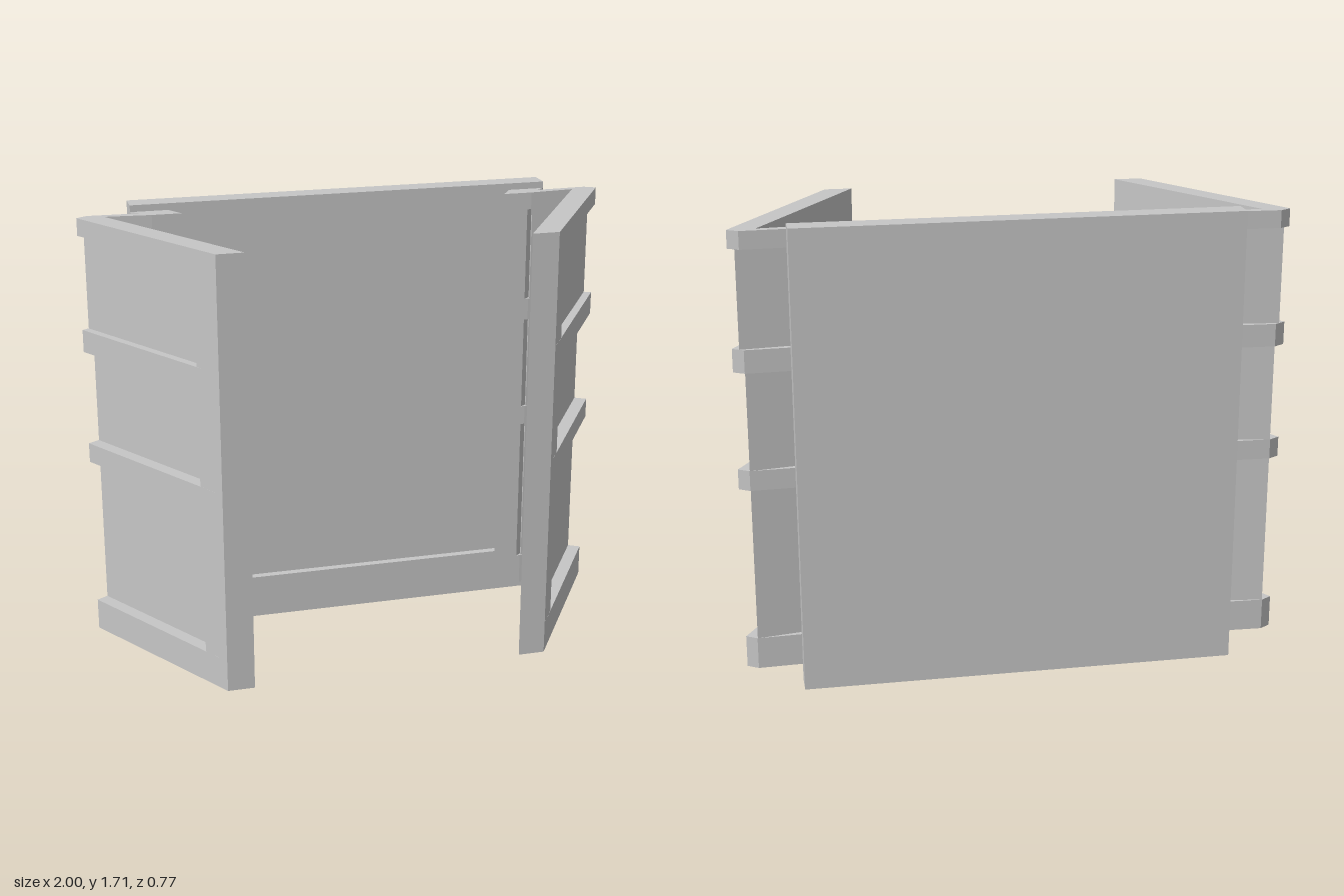
import * as THREE from 'three';

const grey = new THREE.MeshStandardMaterial({ color: 0xc6c6c6 });
grey.name = 'grey';

function add(parent, name, geometry) {
  const mesh = new THREE.Mesh(geometry, grey);
  mesh.name = name;
  parent.add(mesh);
  return mesh;
}

// Upright prism: floor plan of [x, z] points raised from y0 to y1
function prism(plan, y0, y1, side) {
  const shape = new THREE.Shape(plan.map(([x, z]) => new THREE.Vector2(x * side, -z)));
  const geo = new THREE.ExtrudeGeometry(shape, { depth: y1 - y0, bevelEnabled: false });
  geo.rotateX(-Math.PI / 2);
  geo.translate(0, y0, 0);
  return geo;
}

// Floor plans are drawn for the +x side and mirrored for the other
const railPlan = [
  [1, -0.26], [0.96, -0.285], [0.77, -0.278], [0.8, -0.305], [0.66, -0.305],
  [0.62, -0.24], [0.73, -0.24], [0.9, -0.255], [0.51, 0.38], [0.61, 0.38],
];
const jambPlan = [[0.8, -0.305], [0.66, -0.305], [0.62, -0.24], [0.715, -0.24]];

// Wing and return arm with the outer face sunk by d
const panelPlan = (d) => [
  [0.61, 0.38], [0.67, 0.28],
  [0.67 - 0.854 * d, 0.28 - 0.52 * d],
  [1 - 0.854 * d, -0.26 - 0.52 * d],
  [0.735, -0.25], [0.735, -0.242], [0.9, -0.255], [0.51, 0.38],
];

const rails = [[0.05, 0.17], [0.745, 0.82], [1.18, 1.265], [1.62, 1.685]];
const depths = [0.048, 0.048, 0.029];

export function createModel() {
  const model = new THREE.Group();
  model.name = 'panelledScreen';

  // Back board with a shallow recess in its front
  const frame = new THREE.Shape([
    new THREE.Vector2(-0.8, 0), new THREE.Vector2(0.8, 0),
    new THREE.Vector2(0.8, 1.71), new THREE.Vector2(-0.8, 1.71),
  ]);
  frame.holes.push(new THREE.Path([
    new THREE.Vector2(-0.66, 0.17), new THREE.Vector2(-0.66, 1.62),
    new THREE.Vector2(0.66, 1.62), new THREE.Vector2(0.66, 0.17),
  ]));
  add(model, 'backFrame', new THREE.ExtrudeGeometry(frame, { depth: 0.03, bevelEnabled: false }))
    .position.z = -0.335;
  add(model, 'backBoard', new THREE.BoxGeometry(1.6, 1.71, 0.055)).position.set(0, 0.855, -0.3625);

  // Angled wings: full-depth rails with sunken panels between them
  for (const side of [1, -1]) {
    const wing = new THREE.Group();
    wing.name = side > 0 ? 'leftWing' : 'rightWing';
    for (const [y0, y1] of rails) add(wing, 'rail', prism(railPlan, y0, y1, side));
    depths.forEach((d, i) => {
      const y0 = rails[i][1], y1 = rails[i + 1][0];
      add(wing, 'sunkenPanel', prism(panelPlan(d), y0, y1, side));
      add(wing, 'jamb', prism(jambPlan, y0, y1, side));
    });
    model.add(wing);
  }
  return model;
}
